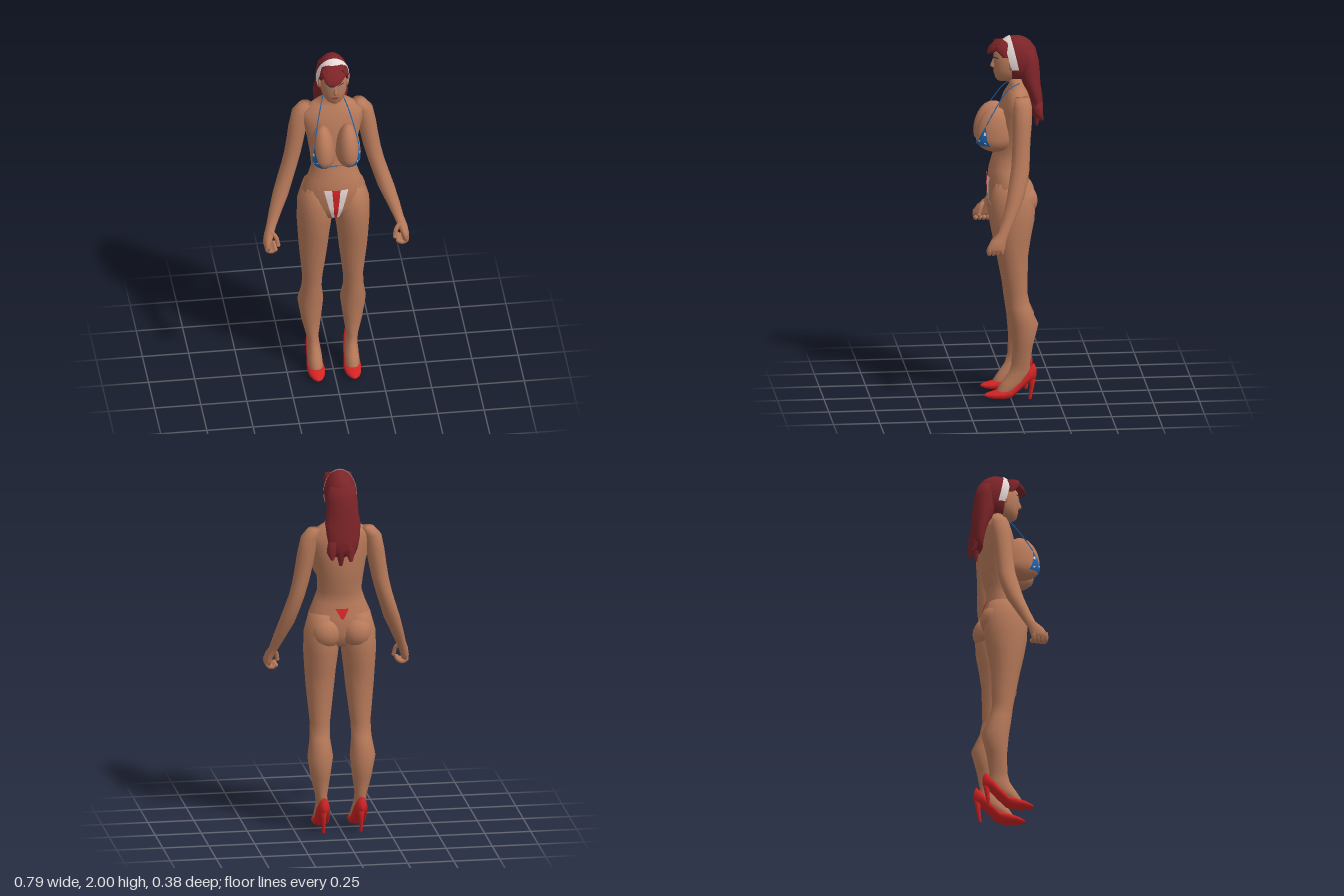
import * as THREE from 'three';

const mat = (name, color) => {
  const m = new THREE.MeshStandardMaterial({ color, side: THREE.DoubleSide });
  m.name = name;
  return m;
};

// Grid surface from a rule fn(u, v) -> [x, y, z]; u runs to the right, v downward
function grid(fn, nu, nv) {
  const pos = [], idx = [];
  for (let j = 0; j <= nv; j++) for (let i = 0; i <= nu; i++) pos.push(...fn(i / nu, j / nv));
  for (let j = 0; j < nv; j++) for (let i = 0; i < nu; i++) {
    const a = j * (nu + 1) + i, b = a + nu + 1;
    idx.push(a, b, b + 1, a, b + 1, a + 1);
  }
  const g = new THREE.BufferGeometry();
  g.setAttribute('position', new THREE.Float32BufferAttribute(pos, 3));
  g.setIndex(idx);
  g.computeVertexNormals();
  return g;
}

// Capped loft through elliptical rings [x, y, z, rx, rz], listed from top to bottom
function loft(rings, n = 16) {
  const pos = [], idx = [], last = rings.length - 1;
  for (const [x, y, z, rx, rz] of rings) for (let i = 0; i < n; i++) {
    const a = (i / n) * Math.PI * 2;
    pos.push(x + rx * Math.sin(a), y, z + rz * Math.cos(a));
  }
  for (let j = 0; j < last; j++) for (let i = 0; i < n; i++) {
    const k = (i + 1) % n, a = j * n + i, b = j * n + k;
    idx.push(a, a + n, b + n, a, b + n, b);
  }
  const top = pos.length / 3;
  pos.push(...rings[0].slice(0, 3), ...rings[last].slice(0, 3));
  for (let i = 0; i < n; i++) {
    const k = (i + 1) % n;
    idx.push(top, i, k, top + 1, last * n + k, last * n + i);
  }
  const g = new THREE.BufferGeometry();
  g.setAttribute('position', new THREE.Float32BufferAttribute(pos, 3));
  g.setIndex(idx);
  g.computeVertexNormals();
  return g;
}

// Loft along z: rings [x, z, bottom, top, rx], listed from back to front
const loftZ = (rings, n) => loft(rings.map(([x, z, b, t, rx]) => [x, -z, (b + t) / 2, rx, (t - b) / 2]), n).rotateX(-Math.PI / 2);

// Ring from height, left edge, right edge, front z and back z
const ring = (y, x0, x1, f, b) => [(x0 + x1) / 2, y, (f + b) / 2, (x1 - x0) / 2, (f - b) / 2];
const mid = (y, rx, f, b) => ring(y, -rx, rx, f, b);

// Depth of a loft's front (dir 1) or back (dir -1) at x, y
function depth(rings, x, y, dir) {
  for (let i = 0; i < rings.length - 1; i++) {
    const p = rings[i], q = rings[i + 1];
    if (y > p[1] || y < q[1]) continue;
    const t = (p[1] - y) / (p[1] - q[1]), c = p.map((v, k) => v + (q[k] - v) * t);
    const d = (x - c[0]) / c[3];
    if (Math.abs(d) < 1) return c[2] + dir * c[4] * Math.sqrt(1 - d * d);
  }
  return -9 * dir;
}

const TORSO = [
  mid(1.79, 0.042, 0.015, -0.07), mid(1.735, 0.05, 0.0, -0.085), mid(1.705, 0.105, 0.015, -0.1),
  mid(1.66, 0.17, 0.035, -0.11), mid(1.6, 0.165, 0.055, -0.12), mid(1.5, 0.14, 0.07, -0.12),
  mid(1.4, 0.125, 0.075, -0.11), mid(1.33, 0.12, 0.095, -0.09), mid(1.27, 0.14, 0.112, -0.085),
  mid(1.2, 0.17, 0.12, -0.105), mid(1.1, 0.18, 0.113, -0.11), mid(1.03, 0.1, 0.085, -0.08)];
const LEG = [
  ring(1.21, 0.03, 0.165, 0.09, -0.1), ring(1.1, 0.002, 0.195, 0.113, -0.13), ring(1.0, 0.007, 0.198, 0.108, -0.125),
  ring(0.9, 0.02, 0.192, 0.09, -0.105), ring(0.8, 0.03, 0.185, 0.068, -0.09), ring(0.6, 0.055, 0.165, 0.03, -0.085),
  ring(0.52, 0.058, 0.168, 0.02, -0.1), ring(0.42, 0.045, 0.185, 0.005, -0.145), ring(0.3, 0.06, 0.165, -0.005, -0.115),
  ring(0.2, 0.075, 0.14, 0.0, -0.1), ring(0.15, 0.07, 0.135, 0.015, -0.105), ring(0.1, 0.062, 0.138, 0.05, -0.08),
  ring(0.055, 0.06, 0.138, 0.08, -0.02), ring(0.03, 0.07, 0.13, 0.07, 0.0)];
const ARM = [
  [0.145, 1.69, -0.055, 0.035, 0.04], [0.172, 1.645, -0.055, 0.047, 0.05], [0.187, 1.56, -0.05, 0.05, 0.052],
  [0.2, 1.48, -0.045, 0.048, 0.049], [0.215, 1.4, -0.04, 0.046, 0.048], [0.235, 1.32, -0.035, 0.044, 0.05],
  [0.26, 1.24, -0.02, 0.044, 0.05], [0.286, 1.16, 0.0, 0.044, 0.045], [0.32, 1.07, 0.035, 0.035, 0.036],
  [0.345, 1.0, 0.065, 0.027, 0.031], [0.362, 0.96, 0.095, 0.026, 0.042], [0.373, 0.92, 0.11, 0.022, 0.05],
  [0.372, 0.895, 0.115, 0.015, 0.046]];
const FACE = [
  mid(1.955, 0.045, 0.055, -0.08), mid(1.91, 0.068, 0.084, -0.1), mid(1.86, 0.073, 0.087, -0.1),
  mid(1.82, 0.07, 0.086, -0.08), mid(1.79, 0.06, 0.082, -0.06), mid(1.765, 0.043, 0.075, -0.04), mid(1.752, 0.024, 0.06, -0.01)];

// Bust surface: phi 0 faces front, theta 0 is the top; the upper half is drawn out toward the collarbone
function bust(s, phi, theta, k = 1) {
  const c = Math.cos(theta) * k, r = Math.sin(theta) * k;
  return [s * 0.069 + 0.067 * r * Math.sin(phi), 1.455 + c * (c > 0 ? 0.165 : 0.08), 0.08 + 0.108 * r * Math.cos(phi)];
}

export function createModel() {
  const root = new THREE.Group();
  const skin = mat('skin', 0xb87a5a), hair = mat('hair', 0x7c2428), red = mat('red', 0xd32424), white = mat('white', 0xe6d8d4);
  const blue = mat('blue', 0x1f66b0), eye = mat('eye', 0x7b8890), lip = mat('lip', 0x8c4238), brow = mat('brow', 0x5c3428);
  const add = (name, geo, m) => {
    const mesh = new THREE.Mesh(geo, m);
    mesh.name = name;
    root.add(mesh);
    return mesh;
  };
  const tube = (pts, r, seg = 8, sides = 6) =>
    new THREE.TubeGeometry(new THREE.CatmullRomCurve3(pts.map(p => new THREE.Vector3(...p))), seg, r, sides);
  const ball = (x, y, z, rx, ry, rz) => new THREE.SphereGeometry(1, 14, 10).scale(rx, ry, rz).translate(x, y, z);

  add('torso', loft(TORSO, 20), skin);
  add('face', loft(FACE, 20), skin);

  // Limbs, bust and shoes, once per side
  for (const s of [1, -1]) {
    const side = s > 0 ? 'left' : 'right';
    const flip = rings => rings.map(([x, ...r]) => [x * s, ...r]);
    const mx = pts => pts.map(([x, y, z]) => [x * s, y, z]);
    add(side + 'Leg', loft(flip(LEG)), skin);
    add(side + 'Hip', ball(s * 0.085, 1.105, -0.06, 0.084, 0.09, 0.084), skin);
    add(side + 'Arm', loft(flip(ARM), 12), skin);
    for (let k = 0; k < 4; k++) {
      const z = 0.08 + 0.022 * k;
      add(side + 'Finger', tube(mx([[0.378, 0.93, z], [0.376, 0.895, z], [0.352, 0.886, z], [0.332, 0.897, z]]), 0.012), skin);
      add(side + 'Fingertip', ball(s * 0.332, 0.897, z, 0.012, 0.012, 0.012), skin);
    }
    add(side + 'Thumb', tube(mx([[0.352, 0.985, 0.1], [0.325, 0.955, 0.12], [0.316, 0.915, 0.132]]), 0.012), skin);
    add(side + 'Thumbtip', ball(s * 0.316, 0.915, 0.132, 0.012, 0.012, 0.012), skin);
    add(side + 'Bust', grid((u, v) => bust(s, (u * 2 - 1) * Math.PI, v * Math.PI), 20, 14), skin);

    // Triangular cup with white dots, and its neck strap
    add(side + 'Cup', grid((u, v) => bust(s, s * (0.95 + v * (-0.85 + u * 1.1)), 1.1 + v * 0.95, 1.03), 8, 8), blue);
    for (const [p, t] of [[0.95, 1.38], [0.6, 1.65], [0.95, 1.8]])
      add(side + 'CupDot', grid((u, v) => bust(s, s * (p + (u - 0.5) * 0.13), t + (v - 0.5) * 0.1, 1.05), 1, 1), white);
    add(side + 'Strap', tube([[s * 0.05, 1.745, -0.05], [s * 0.07, 1.715, 0.015], [s * 0.1, 1.62, 0.085], bust(s, s * 0.95, 1.1, 1.03)], 0.003, 12, 5), blue);

    // Pump with stiletto heel
    add(side + 'Shoe', loftZ([
      [s * 0.102, -0.135, 0.125, 0.17, 0.012], [s * 0.102, -0.122, 0.105, 0.2, 0.028], [s * 0.102, -0.09, 0.09, 0.165, 0.037],
      [s * 0.1, -0.05, 0.055, 0.115, 0.041], [s * 0.1, 0.0, 0.012, 0.065, 0.045], [s * 0.098, 0.04, 0.003, 0.06, 0.048],
      [s * 0.098, 0.09, 0.005, 0.05, 0.042], [s * 0.098, 0.125, 0.012, 0.04, 0.027], [s * 0.098, 0.145, 0.02, 0.032, 0.008]], 14), red);
    add(side + 'Heel', loft([[s * 0.102, 0.14, -0.112, 0.024, 0.024], [s * 0.102, 0.08, -0.112, 0.012, 0.013],
      [s * 0.102, 0, -0.1, 0.008, 0.008]], 8), red);

    // Ear, eye and brow
    add(side + 'Ear', ball(s * 0.074, 1.848, -0.005, 0.01, 0.026, 0.016), skin);
    const onFace = (x, y) => [s * x, y, depth(FACE, x, y, 1) + 0.004];
    add(side + 'Eye', grid((u, v) => onFace(0.017 + u * 0.027, 1.868 + (0.5 - v) * 0.013 * Math.sin(Math.PI * (0.1 + u * 0.8))), 4, 2), eye);
    add(side + 'Brow', grid((u, v) => onFace(0.013 + u * 0.036, 1.884 + 0.006 * Math.sin(u * 2.4) - v * 0.006), 4, 1), brow);
  }

  // Nose and mouth
  add('nose', loft([[0, 1.875, 0.08, 0.005, 0.009], [0, 1.84, 0.086, 0.01, 0.018], [0, 1.83, 0.086, 0.013, 0.016], [0, 1.824, 0.082, 0.008, 0.006]], 8), skin);
  add('lips', grid((u, v) => {
    const x = (u - 0.5) * 0.04, y = 1.803 + (0.5 - v) * 0.016 * Math.sin(Math.PI * (0.08 + u * 0.84));
    return [x, y, depth(FACE, x, y, 1) + 0.004];
  }, 6, 2), lip);

  // Hair cap, trimmed back around the face
  const cap = new THREE.SphereGeometry(1, 24, 18).scale(0.086, 0.125, 0.115).translate(0, 1.875, -0.035);
  const p = cap.attributes.position;
  for (let i = 0; i < p.count; i++) p.setZ(i, Math.min(p.getZ(i), -0.005 + Math.max(0, p.getY(i) - 1.87)));
  cap.computeVertexNormals();
  add('hairCap', cap, hair);
  add('fringe', loftZ([
    [0, 0.0, 1.94, 1.985, 0.05], [0, 0.045, 1.932, 1.978, 0.064], [-0.005, 0.08, 1.915, 1.965, 0.062],
    [-0.012, 0.105, 1.9, 1.94, 0.045], [-0.02, 0.117, 1.895, 1.915, 0.018]], 12), hair);
  for (const s of [1, -1])
    add('templeLock', loft([[s * 0.052, 1.965, 0.045, 0.02, 0.035], [s * 0.066, 1.93, 0.045, 0.012, 0.03],
      [s * 0.07, 1.895, 0.03, 0.006, 0.012]], 8), hair);

  // Long hair down the back, ending in separate tips
  add('backHair', loft([
    mid(1.93, 0.07, -0.04, -0.14), mid(1.86, 0.084, -0.035, -0.158), mid(1.79, 0.087, -0.045, -0.165),
    mid(1.73, 0.097, -0.07, -0.167), mid(1.66, 0.09, -0.095, -0.178), mid(1.6, 0.078, -0.11, -0.178), mid(1.555, 0.06, -0.115, -0.165)], 14), hair);
  for (const [x, y, z] of [[-0.035, 1.53, -0.18], [0.015, 1.5, -0.145], [0.065, 1.54, -0.17]])
    add('hairTip', loft([[x * 0.8, 1.64, -0.145, 0.032, 0.032], [x, 1.58, -0.15, 0.028, 0.025], [x, y, z, 0.008, 0.008]], 8), hair);

  // Headband hugging the hair cap
  add('headband', grid((u, v) => {
    const t = (u * 2 - 1) * 1.95, z = -0.012 + 0.03 * Math.cos(t) + (v - 0.5) * 0.042;
    const k = 1.05 * Math.sqrt(1 - ((z + 0.035) / 0.115) ** 2);
    return [0.086 * k * Math.sin(t), 1.875 + 0.125 * k * Math.cos(t), z];
  }, 28, 4), white);

  // String joining the cups
  add('cupString', tube([[-0.075, 1.425, 0.184], [0, 1.428, 0.176], [0.075, 1.425, 0.184]], 0.0025, 8, 5), blue);

  // Striped front and small back panel of the bottoms, laid over the body
  const body = (x, y, dir) => [TORSO, LEG].map(r => depth(r, r === LEG ? Math.abs(x) : x, y, dir)).reduce((a, b) => dir * a > dir * b ? a : b);
  const stripe = (name, m, a, b) => add(name, grid((u, v) => {
    const y = 1.23 - v * 0.19, x = (a + (b - a) * u) * (0.066 - 0.046 * v);
    return [x, y, body(x, y, 1) + 0.006];
  }, 5, 10), m);
  stripe('whiteStripe', white, -1, -0.34);
  stripe('redStripe', red, -0.34, 0.34);
  stripe('whiteStripe', white, 0.34, 1);
  add('backPanel', grid((u, v) => {
    const y = 1.245 - v * 0.055, x = (1 - 2 * u) * (0.036 - 0.03 * v);
    return [x, y, body(x, y, -1) - 0.006];
  }, 4, 4), red);
  return root;
}
